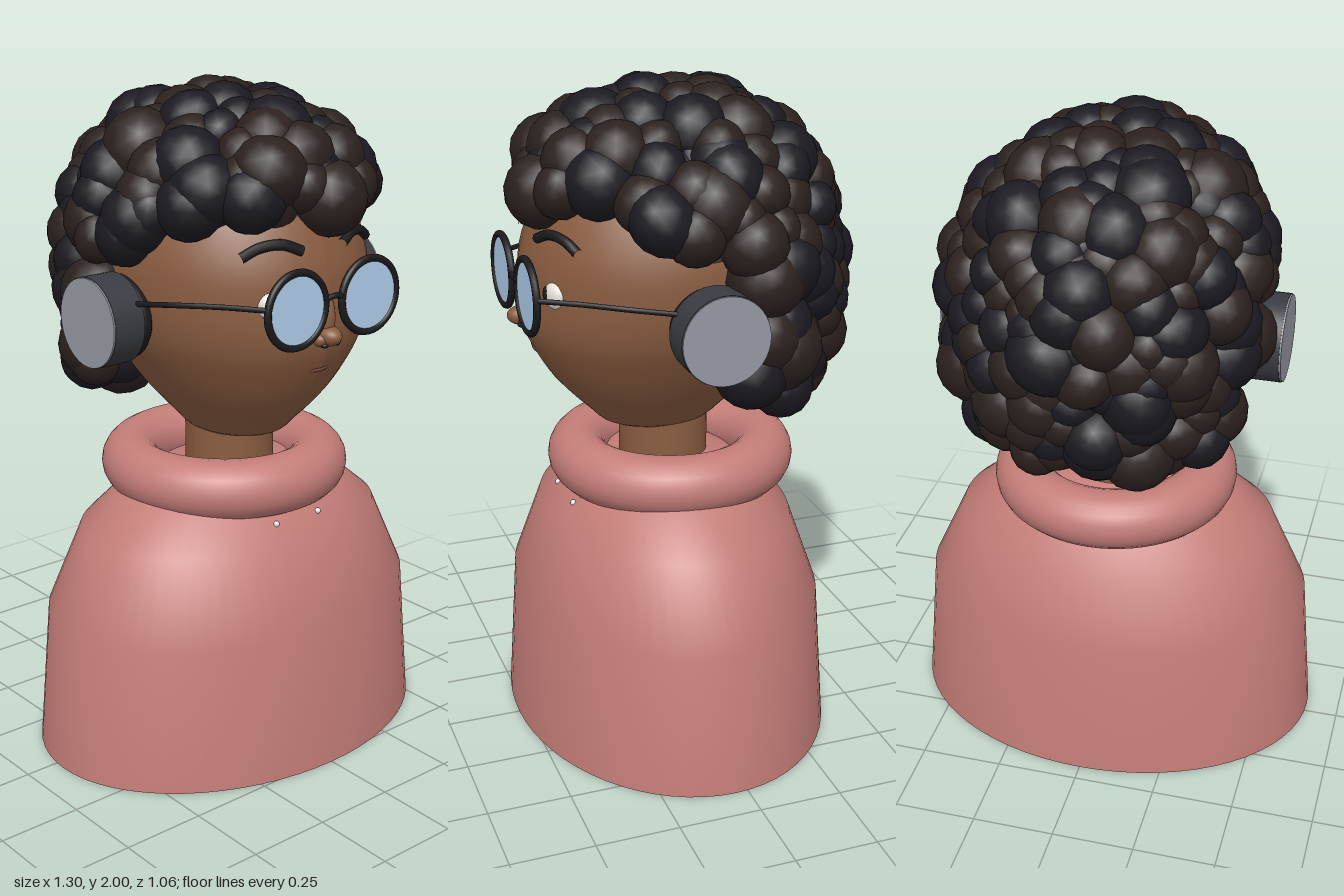
import * as THREE from 'three';
import { mergeGeometries } from 'three/addons/utils/BufferGeometryUtils.js';

const mat = (color, side = THREE.FrontSide) => new THREE.MeshStandardMaterial({ color, side });
const SKIN = mat(0x8a5c40), DARK = mat(0x1c1a1c), PINK = mat(0xc47d78, THREE.DoubleSide);
const LIP = mat(0x7c4c3a), WHITE = mat(0xe8e4dc), SHELL = mat(0x3a3b42), CAP = mat(0x9799a4);
const LENS = mat(0xb2d0ee), HAIR = [mat(0x2b211e), mat(0x1c1a21)];

const v2 = (pairs) => pairs.map(([x, y]) => new THREE.Vector2(x, y));
const v3 = (list) => list.map((p) => new THREE.Vector3(...p));

function add(parent, name, geometry, material, x = 0, y = 0, z = 0) {
  const mesh = new THREE.Mesh(geometry, material);
  mesh.name = name;
  mesh.position.set(x, y, z);
  parent.add(mesh);
  return mesh;
}

function ball(parent, name, material, pos, scale) {
  const mesh = add(parent, name, new THREE.SphereGeometry(1, 24, 16), material, ...pos);
  mesh.scale.set(...scale);
  return mesh;
}

function tube(parent, name, points, radius, material) {
  const curve = new THREE.CatmullRomCurve3(v3(points));
  return add(parent, name, new THREE.TubeGeometry(curve, 20, radius, 8), material);
}

function seeded(seed) {
  return () => {
    seed = (seed * 16807) % 2147483647;
    return seed / 2147483647;
  };
}

// Sweater: open oval shell with a thick rolled collar
function addSweater(g) {
  const profile = [[0.648, 0], [0.61, 0.44], [0.5, 0.68], [0.37, 0.79], [0.25, 0.84], [0.13, 0.86]];
  const body = add(g, 'sweater', new THREE.LatheGeometry(v2(profile), 64), PINK, 0, 0, 0.038);
  body.scale.z = 0.75;
  const collar = add(g, 'collar', new THREE.TorusGeometry(0.287, 0.09, 20, 64), PINK, 0, 0.841, 0.013);
  collar.rotation.x = Math.PI / 2;
  for (const s of [-1, 1]) ball(g, 'eyelet', WHITE, [s * 0.082, 0.743, 0.352], [0.009, 0.009, 0.009]);
}

// Head: egg-shaped skull, deeper towards the jaw, with nose, mouth, eyes, brows and ears
function addHead(g) {
  add(g, 'neck', new THREE.CylinderGeometry(0.135, 0.135, 0.24, 32), SKIN, 0, 0.9, 0.037);
  const outline = new THREE.SplineCurve(v2([[0, -0.47], [0.12, -0.452], [0.175, -0.4], [0.243, -0.32], [0.312, -0.22],
    [0.365, -0.12], [0.39, 0], [0.385, 0.13], [0.33, 0.28], [0.22, 0.39], [0, 0.45]]));
  const skull = new THREE.LatheGeometry(outline.getPoints(40), 48);
  const p = skull.attributes.position;
  for (let i = 0; i < p.count; i++) {
    const jaw = Math.min(1, Math.max(0, -p.getY(i) / 0.3));
    p.setZ(i, p.getZ(i) * (1.13 + 0.12 * jaw) - 0.08 * p.getY(i));
  }
  skull.computeVertexNormals();
  add(g, 'head', skull, SKIN, 0, 1.42, 0.027);

  ball(g, 'noseBridge', SKIN, [0, 1.375, 0.445], [0.03, 0.08, 0.04]);
  ball(g, 'noseTip', SKIN, [0, 1.328, 0.466], [0.034, 0.03, 0.048]);
  tube(g, 'mouth', [[-0.07, 1.232, 0.42], [0, 1.222, 0.431], [0.07, 1.232, 0.42]], 0.009, LIP);
  for (const s of [-1, 1]) {
    ball(g, 'nostrilWing', SKIN, [s * 0.028, 1.32, 0.459], [0.022, 0.02, 0.028]);
    ball(g, 'nostril', DARK, [s * 0.022, 1.305, 0.477], [0.012, 0.008, 0.012]);
    ball(g, 'eye', WHITE, [s * 0.155, 1.43, 0.4], [0.05, 0.05, 0.04]);
    ball(g, 'pupil', DARK, [s * 0.15, 1.43, 0.432], [0.022, 0.025, 0.012]);
    ball(g, 'ear', SKIN, [s * 0.385, 1.36, 0.03], [0.035, 0.09, 0.06]);
    tube(g, 'eyebrow', [[s * 0.075, 1.575, 0.437], [s * 0.13, 1.597, 0.415],
      [s * 0.19, 1.59, 0.387], [s * 0.235, 1.565, 0.365]], 0.015, DARK);
  }
}

// Glasses: two round lenses, bridge and side arms
function addGlasses(g) {
  const glasses = new THREE.Group();
  glasses.name = 'glasses';
  g.add(glasses);
  for (const s of [-1, 1]) {
    add(glasses, 'rim', new THREE.TorusGeometry(0.106, 0.011, 10, 40), DARK, s * 0.137, 1.427, 0.487);
    const lens = add(glasses, 'lens', new THREE.CylinderGeometry(0.104, 0.104, 0.008, 40), LENS, s * 0.137, 1.427, 0.487);
    lens.rotation.x = Math.PI / 2;
    tube(glasses, 'arm', [[s * 0.245, 1.445, 0.485], [s * 0.315, 1.445, 0.38],
      [s * 0.385, 1.44, 0.27], [s * 0.425, 1.42, 0.12]], 0.008, DARK);
  }
  tube(glasses, 'bridge', [[-0.04, 1.44, 0.487], [0, 1.448, 0.492], [0.04, 1.44, 0.487]], 0.009, DARK);
}

// Headphones: round cups joined by a band tucked into the hair
function addHeadphones(g) {
  const phones = new THREE.Group();
  phones.name = 'headphones';
  g.add(phones);
  for (const s of [-1, 1]) {
    const disc = (name, r, width, x, material) => {
      const m = add(phones, name, new THREE.CylinderGeometry(r, r, width, 40), material, s * x, 1.36, 0.028);
      m.rotation.z = Math.PI / 2;
    };
    disc('cup', 0.131, 0.1, 0.458, SHELL);
    disc('cupFace', 0.129, 0.006, 0.51, CAP);
    const pad = add(phones, 'earPad', new THREE.TorusGeometry(0.09, 0.035, 12, 32), DARK, s * 0.395, 1.36, 0.028);
    pad.rotation.y = Math.PI / 2;
  }
  const band = add(phones, 'headband', new THREE.TorusGeometry(0.38, 0.018, 10, 48, Math.PI), SHELL, 0, 1.55, 0.028);
  band.scale.z = 2;
}

// Hair: overlapping curls on a rounded shell with a forward fringe, leaving the face and ears clear
function addHair(g) {
  const rnd = seeded(77);
  const curls = [[], []];
  const dummy = new THREE.Object3D();
  const lowest = (z) => (z > 0.24 ? 1.7 : z > 0.12 ? 1.65 : z > -0.08 ? 1.55 : z > -0.2 ? 1.16 : 1.11);
  const layer = (count, shell, size) => {
    for (let i = 0; i < count; i++) {
      const t = 1 - (1.86 * (i + 0.5)) / count;
      const a = i * 2.39996 + rnd() * 0.35;
      const wide = (t > 0 ? Math.sqrt(1 - t ** 2.05) : 1 - 0.16 * t * t) * shell * (0.93 + 0.09 * rnd());
      const fringe = 0.09 * Math.max(0, Math.sin(a)) * Math.min(1, Math.max(0, 4 * t));
      const y = 1.48 + (t > 0 ? 0.425 * shell : 0.43) * t;
      const x = Math.cos(a) * 0.425 * wide;
      const z = Math.sin(a) * 0.415 * wide - 0.015 + fringe;
      const r = size * (0.78 + 0.4 * rnd());
      const tint = rnd() < 0.5 ? 0 : 1;
      dummy.rotation.set(rnd() * 6, rnd() * 6, rnd() * 6);
      if (y < lowest(z)) continue;
      dummy.position.set(x, y, z);
      dummy.scale.set(r, r * (0.85 + 0.25 * rnd()), r);
      dummy.updateMatrix();
      curls[tint].push(new THREE.IcosahedronGeometry(1, 2).applyMatrix4(dummy.matrix));
    }
  };
  layer(260, 1, 0.1);
  layer(150, 0.8, 0.11);
  curls.forEach((set, i) => add(g, i ? 'darkCurls' : 'brownCurls', mergeGeometries(set), HAIR[i]));
}

export function createModel() {
  const model = new THREE.Group();
  model.name = 'bust';
  for (const build of [addSweater, addHead, addGlasses, addHeadphones, addHair]) build(model);
  return model;
}
